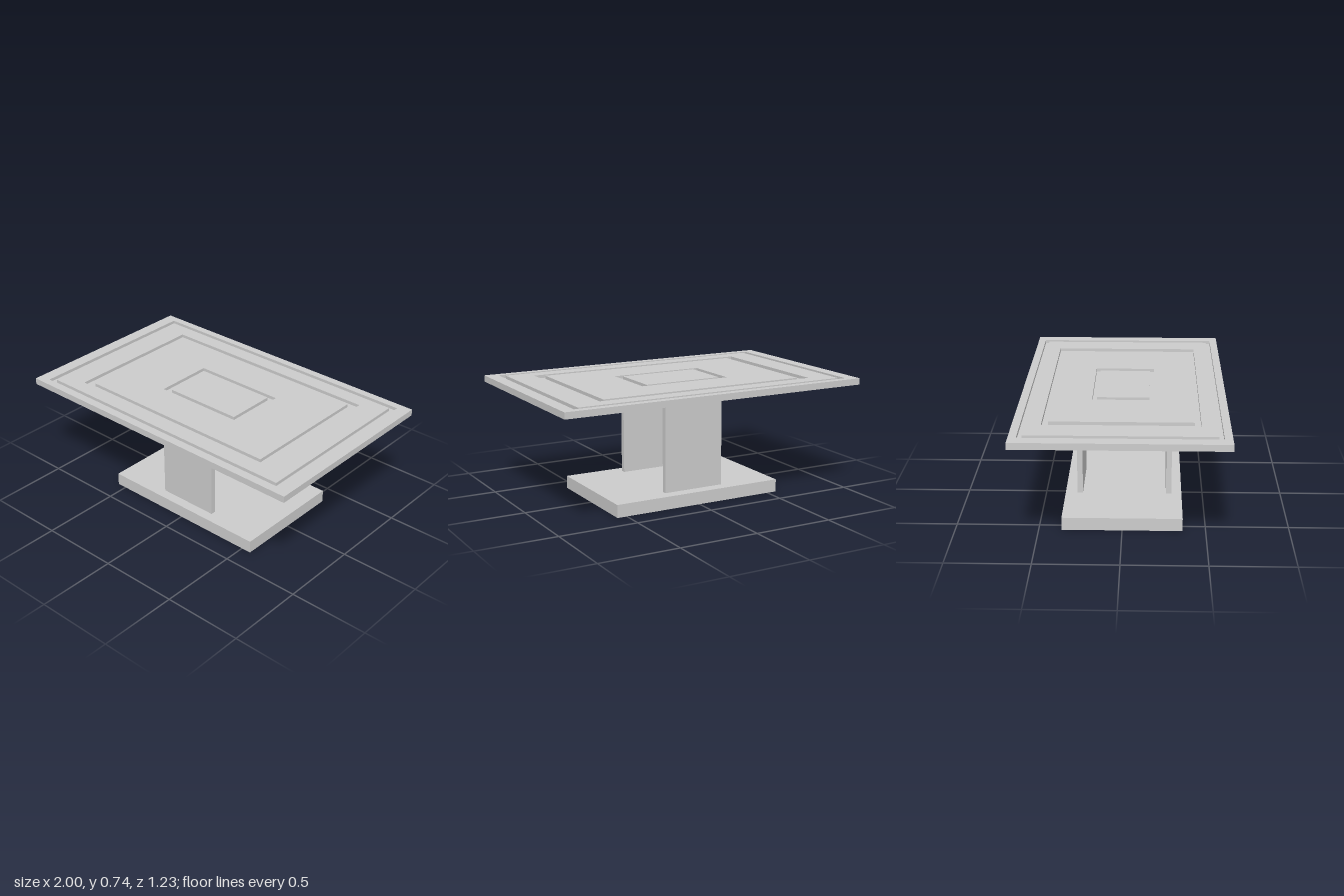
import * as THREE from 'three';

const material = new THREE.MeshStandardMaterial({ color: 0xcccccc, flatShading: true });

// Box given by its size, centre x/z and the height of its underside
function block(name, w, h, d, y, z = 0) {
  const mesh = new THREE.Mesh(new THREE.BoxGeometry(w, h, d), material);
  mesh.name = name;
  mesh.position.set(0, y + h / 2, z);
  return mesh;
}

// Closed solid through nested rectangles [halfWidth, halfDepth, y], from underside to top centre
function rectangularLoft(rings) {
  const signs = [[1, 1], [1, -1], [-1, -1], [-1, 1]];
  const loops = rings.map(([hx, hz, y]) => signs.map(([sx, sz]) => [sx * hx, y, sz * hz]));
  const positions = [];
  const quad = (a, b, c, d) => positions.push(...a, ...b, ...c, ...a, ...c, ...d);

  for (let i = 0; i < loops.length - 1; i++) {
    for (let j = 0; j < 4; j++) {
      const k = (j + 1) % 4;
      quad(loops[i][j], loops[i][k], loops[i + 1][k], loops[i + 1][j]);
    }
  }
  quad(...[...loops[0]].reverse());
  quad(...loops[loops.length - 1]);

  const geometry = new THREE.BufferGeometry();
  geometry.setAttribute('position', new THREE.Float32BufferAttribute(positions, 3));
  geometry.computeVertexNormals();
  return geometry;
}

export function createModel() {
  const group = new THREE.Group();
  group.name = 'table';

  const baseHeight = 0.08, underside = 0.695, top = 0.735, grooveFloor = 0.715;

  // Plinth and the two upright panels
  group.add(block('base', 1.126, baseHeight, 0.724, 0));
  const panelHeight = underside - baseHeight;
  group.add(block('frontPanel', 0.396, panelHeight, 0.034, baseHeight, 0.282));
  group.add(block('backPanel', 0.396, panelHeight, 0.034, baseHeight, -0.271));

  // Tabletop with three rectangular grooves: outer and inner half sizes of each
  const grooves = [
    [0.923, 0.57, 0.886, 0.542],
    [0.73, 0.452, 0.67, 0.415],
    [0.297, 0.185, 0.254, 0.158],
  ];
  const rings = [[1, 0.617, underside], [1, 0.617, top]];
  for (const [ox, oz, ix, iz] of grooves) {
    rings.push([ox, oz, top], [ox, oz, grooveFloor], [ix, iz, grooveFloor], [ix, iz, top]);
  }
  const tabletop = new THREE.Mesh(rectangularLoft(rings), material);
  tabletop.name = 'tabletop';
  group.add(tabletop);

  return group;
}
